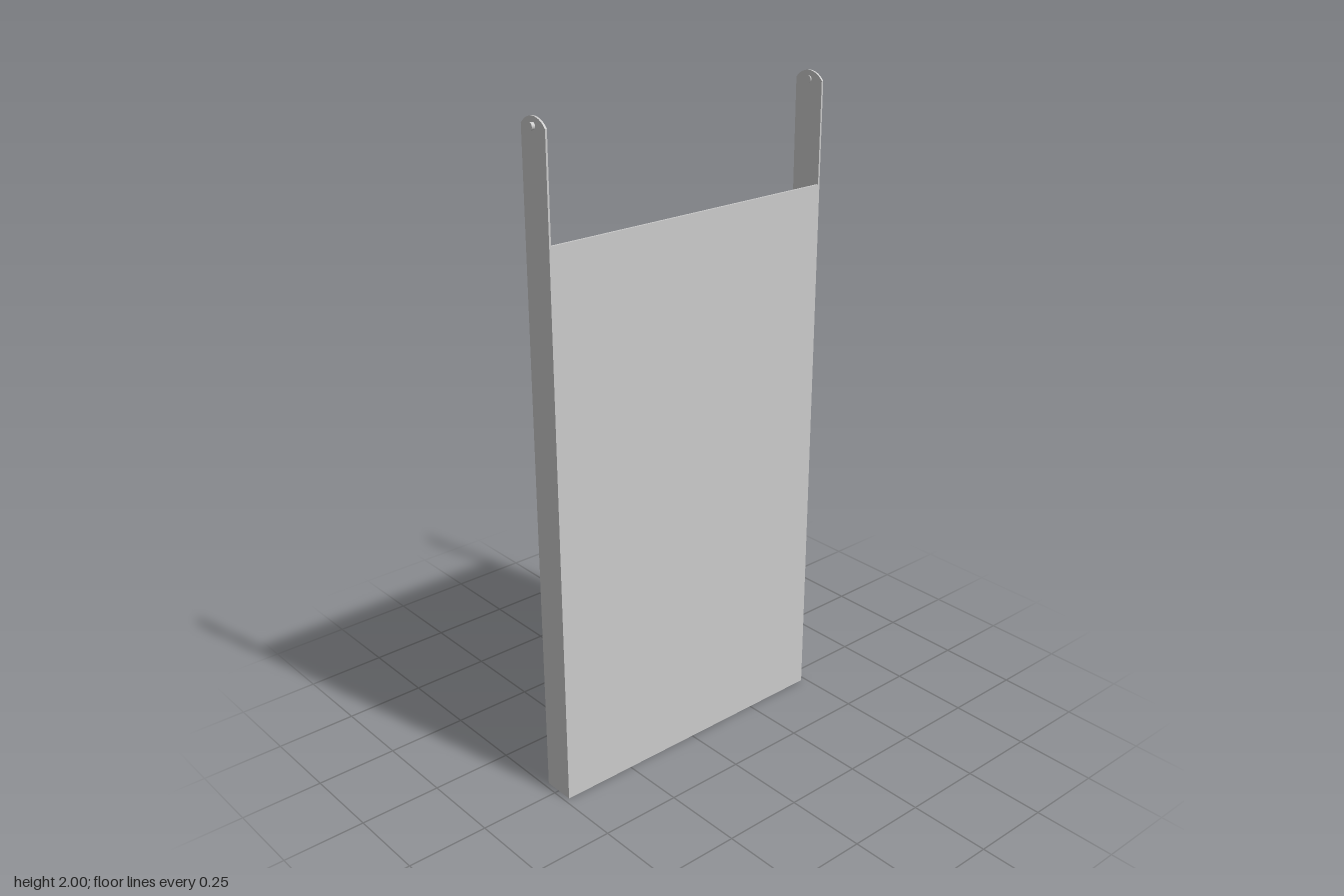
import * as THREE from 'three';

const HALF_WIDTH = 0.05, HALF_DEPTH = 0.485, SHEET = 0.006;
const HEIGHT = 2, PANEL_HEIGHT = 1.68, ARCH_RADIUS = 0.0625, PIN_Y = 1.975;

export function createModel() {
  const model = new THREE.Group();
  const material = new THREE.MeshStandardMaterial({ color: 0xcccccc });
  const add = (name, geometry, x, y, z) => {
    const mesh = new THREE.Mesh(geometry, material);
    mesh.name = name;
    mesh.position.set(x, y, z);
    model.add(mesh);
  };

  // Wide sheet joining the two side flanges
  add('panel', new THREE.BoxGeometry(SHEET, PANEL_HEIGHT, 2 * (HALF_DEPTH - SHEET)),
    HALF_WIDTH - SHEET / 2, PANEL_HEIGHT / 2, 0);

  // Tall flange outline with a shallow arched top
  const outline = new THREE.Shape();
  const angle = Math.asin(HALF_WIDTH / ARCH_RADIUS);
  outline.moveTo(-HALF_WIDTH, 0);
  outline.lineTo(HALF_WIDTH, 0);
  outline.absarc(0, HEIGHT - ARCH_RADIUS, ARCH_RADIUS, Math.PI / 2 - angle, Math.PI / 2 + angle, false);
  outline.closePath();
  const flange = new THREE.ExtrudeGeometry(outline, { depth: SHEET, bevelEnabled: false, curveSegments: 16 });
  flange.translate(0, 0, -SHEET / 2);

  // Short pivot pin passing through the flange
  const pin = new THREE.CylinderGeometry(0.01, 0.01, 0.02, 24);
  pin.rotateX(Math.PI / 2);

  for (const [side, s] of [['front', 1], ['back', -1]]) {
    add(side + 'Flange', flange, 0, 0, s * (HALF_DEPTH - SHEET / 2));
    add(side + 'Pin', pin, 0, PIN_Y, s * 0.485);
  }
  return model;
}
